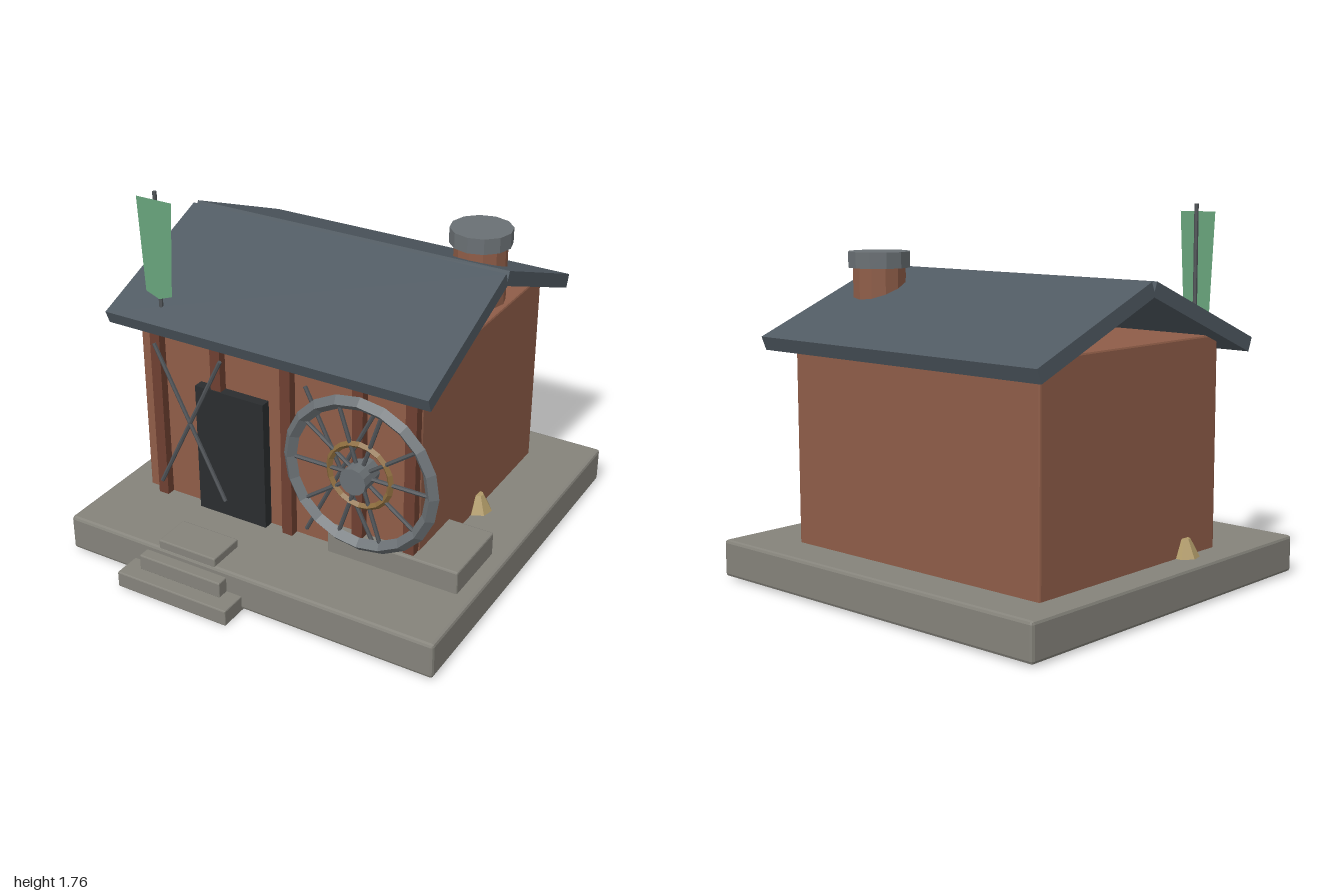
import * as THREE from 'three';
import { RoundedBoxGeometry } from 'three/addons/geometries/RoundedBoxGeometry.js';

const mat = (color) => new THREE.MeshStandardMaterial({ color, flatShading: true });

export function createModel() {
  const stone = mat(0x85837b), brick = mat(0x8f5d48), timber = mat(0x6e4031), slate = mat(0x505a62);
  const iron = mat(0x6a7074), darkIron = mat(0x505458), brass = mat(0x8a6a3c), sand = mat(0xb09a68);
  const doorDark = mat(0x2a2d2f), green = mat(0x68a47c);
  green.side = THREE.DoubleSide;

  const model = new THREE.Group();
  const add = (name, geometry, material, x = 0, y = 0, z = 0, parent = model) => {
    const mesh = new THREE.Mesh(geometry, material);
    mesh.name = name;
    mesh.position.set(x, y, z);
    parent.add(mesh);
    return mesh;
  };
  // Box given by its limits, with optional chamfered edges
  const block = (name, material, x0, x1, y0, y1, z0, z1, bevel = 0) => {
    const size = [x1 - x0, y1 - y0, z1 - z0];
    const geometry = bevel ? new RoundedBoxGeometry(...size, 1, bevel) : new THREE.BoxGeometry(...size);
    return add(name, geometry, material, (x0 + x1) / 2, (y0 + y1) / 2, (z0 + z1) / 2);
  };

  // Stone platform, entrance steps and wheel plinth
  block('platform', stone, -0.97, 0.97, 0.01, 0.187, -1, 0.868, 0.015);
  block('lowerStep', stone, -0.6, 0, 0, 0.08, 0.81, 1, 0.006);
  block('middleStep', stone, -0.525, -0.08, 0.075, 0.155, 0.74, 0.925, 0.006);
  block('upperStep', stone, -0.455, -0.145, 0.15, 0.227, 0.673, 0.862, 0.006);
  block('wheelPlinth', stone, 0.228, 0.892, 0.17, 0.3, 0.123, 0.493, 0.008);

  // House body, front posts and door
  block('walls', brick, -0.823, 0.667, 0.17, 1.178, -0.79, 0.43, 0.01);
  for (const x of [-0.714, -0.378, -0.002, 0.372, 0.636]) {
    block('frontPost', timber, x - 0.027, x + 0.027, 0.18, 1.125, 0.4, 0.474);
  }
  block('door', doorDark, -0.49, -0.117, 0.187, 0.847, 0.42, 0.48);

  // Gable roof: two tilted slabs mirrored about the ridge
  for (const s of [1, -1]) {
    const slab = add('roofSlab', new THREE.BoxGeometry(1.677, 0.068, 0.78), slate, -0.078, 1.273, -0.174 + s * 0.366);
    slab.rotation.x = s * 0.386;
  }

  // Chimney
  add('chimney', new THREE.CylinderGeometry(0.126, 0.126, 0.32, 12), brick, 0.52, 1.31, -0.4);
  add('chimneyCap', new THREE.CylinderGeometry(0.148, 0.148, 0.075, 12), iron, 0.52, 1.498, -0.4);

  // Crossed bracing rods on the front
  for (const x of [-0.522, 0.3]) {
    for (const s of [1, -1]) {
      const rod = add('braceRod', new THREE.CylinderGeometry(0.01, 0.01, 0.83, 6), darkIron, x, 0.642, 0.489);
      rod.rotation.z = s * 0.46;
    }
  }

  // Large spoked wheel
  const wheel = new THREE.Group();
  wheel.name = 'wheel';
  wheel.position.set(0.408, 0.66, 0.513);
  model.add(wheel);
  add('wheelRim', new THREE.TorusGeometry(0.36, 0.033, 4, 20), iron, 0, 0, 0, wheel);
  add('innerRing', new THREE.TorusGeometry(0.156, 0.016, 4, 20), brass, 0, 0, 0, wheel);
  const hub = add('hub', new THREE.CylinderGeometry(0.066, 0.066, 0.13, 12), iron, 0, 0, 0, wheel);
  hub.rotation.x = Math.PI / 2;
  for (let i = 0; i < 10; i++) {
    const a = (i * Math.PI) / 5;
    const spoke = add('spoke', new THREE.CylinderGeometry(0.01, 0.01, 0.32, 6), darkIron,
      Math.cos(a) * 0.19, Math.sin(a) * 0.19, 0, wheel);
    spoke.rotation.z = a - Math.PI / 2;
  }

  // Small sand heaps against the side walls
  for (const [x, z] of [[0.67, -0.178], [-0.823, 0.2]]) {
    add('sandHeap', new THREE.CylinderGeometry(0.026, 0.07, 0.085, 7), sand, x, 0.229, z);
  }

  // Banner on its pole
  add('bannerPole', new THREE.CylinderGeometry(0.01, 0.01, 0.64, 6), darkIron, -0.674, 1.44, 0.459);
  const cloth = new THREE.Shape([[-0.096, 1.725], [-0.072, 1.267], [0, 1.24], [0.072, 1.267], [0.096, 1.725]]
    .map(([x, y]) => new THREE.Vector2(x, y)));
  add('banner', new THREE.ShapeGeometry(cloth), green, -0.674, 0, 0.47);

  return model;
}
